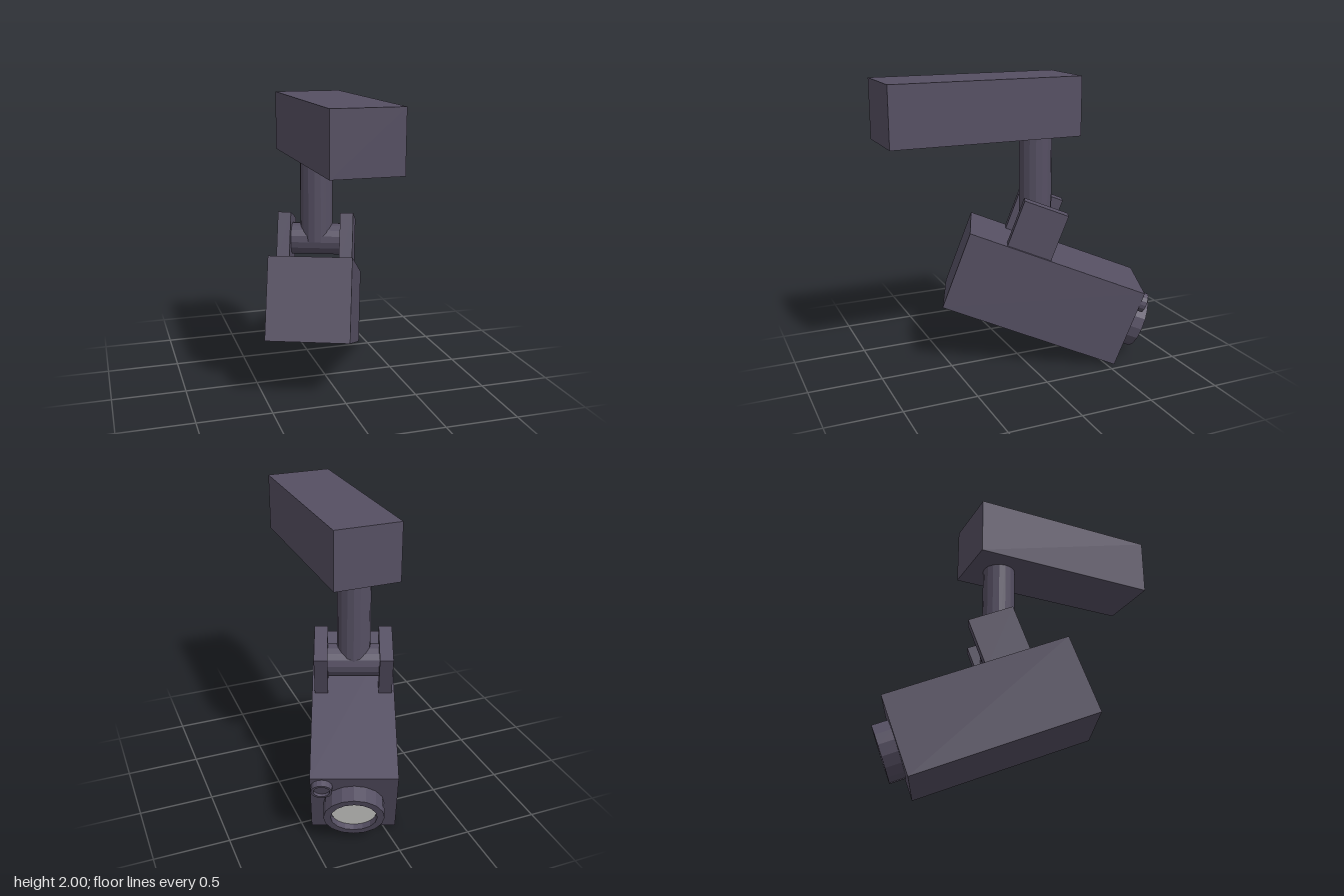
import * as THREE from 'three';

export function createModel() {
  const casing = new THREE.MeshStandardMaterial({ color: 0x554f62, flatShading: true });
  casing.name = 'dark grey casing';
  const glass = new THREE.MeshStandardMaterial({ color: 0xdcdcd9 });
  glass.name = 'pale glass';

  const model = new THREE.Group();
  model.name = 'ceilingCamera';

  const add = (parent, name, geometry, material, x, y, z) => {
    const mesh = new THREE.Mesh(geometry, material);
    mesh.name = name;
    mesh.position.set(x, y, z);
    parent.add(mesh);
    return mesh;
  };

  // Mounting block and the pole hanging from it
  add(model, 'mountBlock', new THREE.BoxGeometry(0.46, 0.4, 1.315), casing, -0.02, 1.8, 0.2825);
  add(model, 'pole', new THREE.CylinderGeometry(0.113, 0.113, 0.65, 16), casing, -0.02, 1.305, -0.147);

  // Camera head, turned sideways and tipped down; its lens end is local -z
  const head = new THREE.Group();
  head.name = 'cameraHead';
  head.position.set(0, 0.487, -0.19);
  head.rotation.set(THREE.MathUtils.degToRad(-20.5), THREE.MathUtils.degToRad(-21.5), 0, 'YXZ');
  model.add(head);

  add(head, 'body', new THREE.BoxGeometry(0.56, 0.56, 1.275), casing, 0, 0, 0);

  // Hinge: two side plates with a pin between them
  for (const [side, name] of [[1, 'leftHingePlate'], [-1, 'rightHingePlate']]) {
    add(head, name, new THREE.BoxGeometry(0.09, 0.362, 0.315), casing, side * 0.217, 0.431, 0.2125);
  }
  const pin = add(head, 'hingePin', new THREE.CylinderGeometry(0.112, 0.112, 0.36, 16), casing, 0, 0.45, 0.21);
  pin.rotation.z = Math.PI / 2;

  // Round barrel with a recessed floor, pointing along local -z
  const addBarrel = (name, x, y, outer, inner, height, recess) => {
    const profile = [
      [outer, -0.02], [outer, height], [inner, height], [inner, height - recess], [0, height - recess],
    ].map(([r, h]) => new THREE.Vector2(r, h));
    const barrel = add(head, name, new THREE.LatheGeometry(profile, 16), casing, x, y, -0.6375);
    barrel.rotation.x = -Math.PI / 2;
    return barrel;
  };
  addBarrel('lensBarrel', 0, 0, 0.197, 0.15, 0.11, 0.045);
  addBarrel('sensor', 0.206, 0.197, 0.068, 0.052, 0.045, 0.02);

  // Glass disc set inside the lens barrel
  const lens = add(head, 'lensGlass', new THREE.CylinderGeometry(0.145, 0.145, 0.006, 24), glass, 0, 0, -0.706);
  lens.rotation.x = -Math.PI / 2;

  return model;
}
